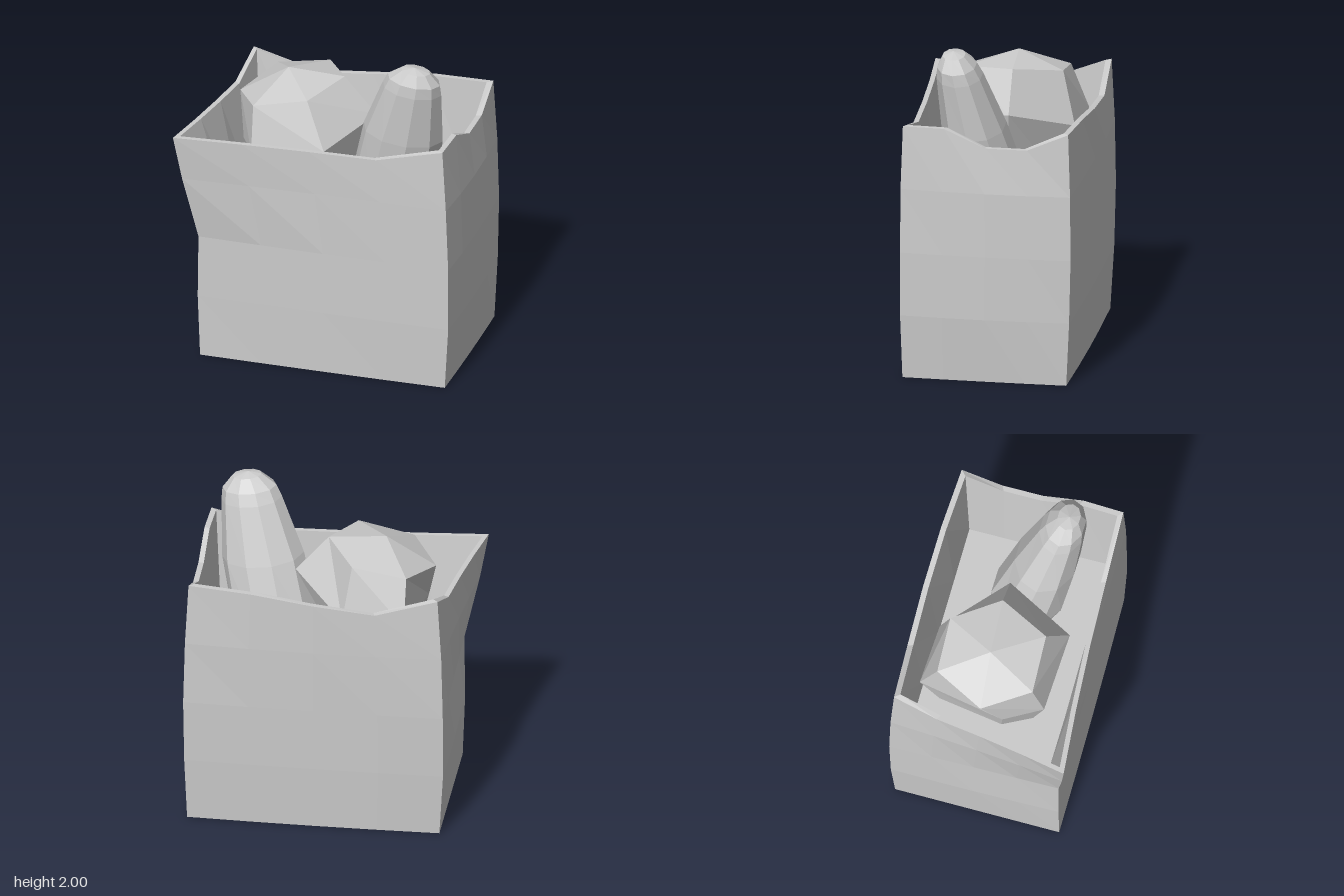
import * as THREE from 'three';

const material = () => new THREE.MeshStandardMaterial({ color: 0xcccccc, flatShading: true });

// Skin a stack of closed rings (listed top to bottom, counterclockwise from above),
// closed by a single point at each end.
function skin(name, start, rings, end) {
  const n = rings[0].length;
  const pos = [];
  const tri = (a, b, c) => pos.push(...a, ...b, ...c);
  for (let i = 0; i < n; i++) {
    const j = (i + 1) % n;
    tri(start, rings[0][i], rings[0][j]);
    for (let r = 0; r < rings.length - 1; r++) {
      const a = rings[r], b = rings[r + 1];
      tri(a[i], b[i], b[j]);
      tri(a[i], b[j], a[j]);
    }
    const last = rings[rings.length - 1];
    tri(end, last[j], last[i]);
  }
  const geo = new THREE.BufferGeometry();
  geo.setAttribute('position', new THREE.Float32BufferAttribute(pos, 3));
  geo.computeVertexNormals();
  const mesh = new THREE.Mesh(geo, material());
  mesh.name = name;
  return mesh;
}

// Four-cornered ring, four segments per side; bow pushes the side middles outward.
const OUT = [[0, 1], [1, 0], [0, -1], [-1, 0]]; // front, right, back, left
function boxRing(corners, heights, bow) {
  const ring = [];
  for (let s = 0; s < 4; s++) {
    const a = corners[s], b = corners[(s + 1) % 4];
    for (let k = 0; k < 4; k++) {
      const t = k / 4, push = bow[s] * 4 * t * (1 - t);
      ring.push([
        a[0] + (b[0] - a[0]) * t + OUT[s][0] * push,
        Array.isArray(heights) ? heights[s * 4 + k] : heights,
        a[1] + (b[1] - a[1]) * t + OUT[s][1] * push,
      ]);
    }
  }
  return ring;
}

// Crumpled paper bag: one flared front corner, wavy rim, recessed floor
function makeBag() {
  const rimHeights = [
    1.48, 1.48, 1.48, 1.48, // front
    1.59, 1.59, 1.48, 1.48, // right
    1.59, 1.57, 1.52, 1.48, // back
    1.59, 1.48, 1.48, 1.48, // left
  ];
  const rim = boxRing([[-0.87, 0.57], [0.81, 0.475], [0.81, -0.54], [-0.71, -0.54]],
    rimHeights, [-0.02, 0.01, 0.03, -0.015]);
  const innerRim = rim.map(([x, y, z]) => [x * 0.96, y, z * 0.94]);
  const floor = boxRing([[-0.62, 0.41], [0.74, 0.42], [0.73, -0.47], [-0.64, -0.47]], 0.8, [0, 0, 0, 0]);
  const rows = [
    boxRing([[-0.82, 0.545], [0.835, 0.485], [0.83, -0.555], [-0.735, -0.555]], 1.2, [-0.015, 0.02, 0.02, -0.01]),
    boxRing([[-0.73, 0.5], [0.85, 0.485], [0.84, -0.56], [-0.745, -0.56]], 0.8, [0.005, 0.015, 0.01, 0]),
    boxRing([[-0.735, 0.5], [0.85, 0.485], [0.835, -0.55], [-0.745, -0.55]], 0.4, [0.005, 0.015, 0.01, 0.005]),
    boxRing([[-0.72, 0.5], [0.825, 0.475], [0.82, -0.53], [-0.72, -0.53]], 0, [0.005, 0.005, 0.01, 0]),
  ];
  return skin('paperBag', [0, 0.8, 0], [floor, innerRim, rim, ...rows], [0, 0, 0]);
}

// Chunky faceted item
function makeLump() {
  const upper = [[-0.63, 1.56, -0.02], [-0.46, 1.61, 0.26], [-0.12, 1.69, 0.25],
    [0.02, 1.73, -0.06], [-0.16, 1.68, -0.34], [-0.49, 1.62, -0.33]];
  const middle = [[-0.57, 1.3, 0.1], [-0.45, 1.33, 0.33], [0.02, 1.42, 0.36],
    [0.22, 1.5, -0.07], [-0.11, 1.35, -0.42], [-0.49, 1.35, -0.44]];
  const lower = middle.map(([x, , z]) => [-0.27 + (x + 0.27) * 0.75, 1.0, z * 0.75]);
  return skin('facetedLump', [-0.33, 1.75, -0.04], [upper, middle, lower], [-0.27, 0.82, -0.03]);
}

// Leaning loaf: oval sections along a slanted axis, [y, x radius, z radius]
function makeLoaf() {
  const sides = 10;
  const axis = (y) => {
    const t = (y - 0.8) / 1.2;
    return [0.28 + 0.28 * t, y, -0.05 + 0.26 * t];
  };
  const sections = [[1.98, 0.09, 0.07], [1.91, 0.165, 0.12], [1.84, 0.185, 0.14],
    [1.5, 0.25, 0.195], [1.1, 0.26, 0.23], [0.85, 0.2, 0.18]];
  const rings = sections.map(([y, rx, rz]) => {
    const [cx, , cz] = axis(y);
    return Array.from({ length: sides }, (_, i) => {
      const a = (i / sides) * Math.PI * 2;
      const x = rx * Math.cos(a);
      return [cx + x, y - x * 0.12, cz - rz * Math.sin(a)];
    });
  });
  return skin('loaf', [0.55, 2, 0.21], rings, [0.28, 0.81, -0.05]);
}

export function createModel() {
  const group = new THREE.Group();
  group.name = 'groceryBag';
  group.add(makeBag(), makeLump(), makeLoaf());
  return group;
}
